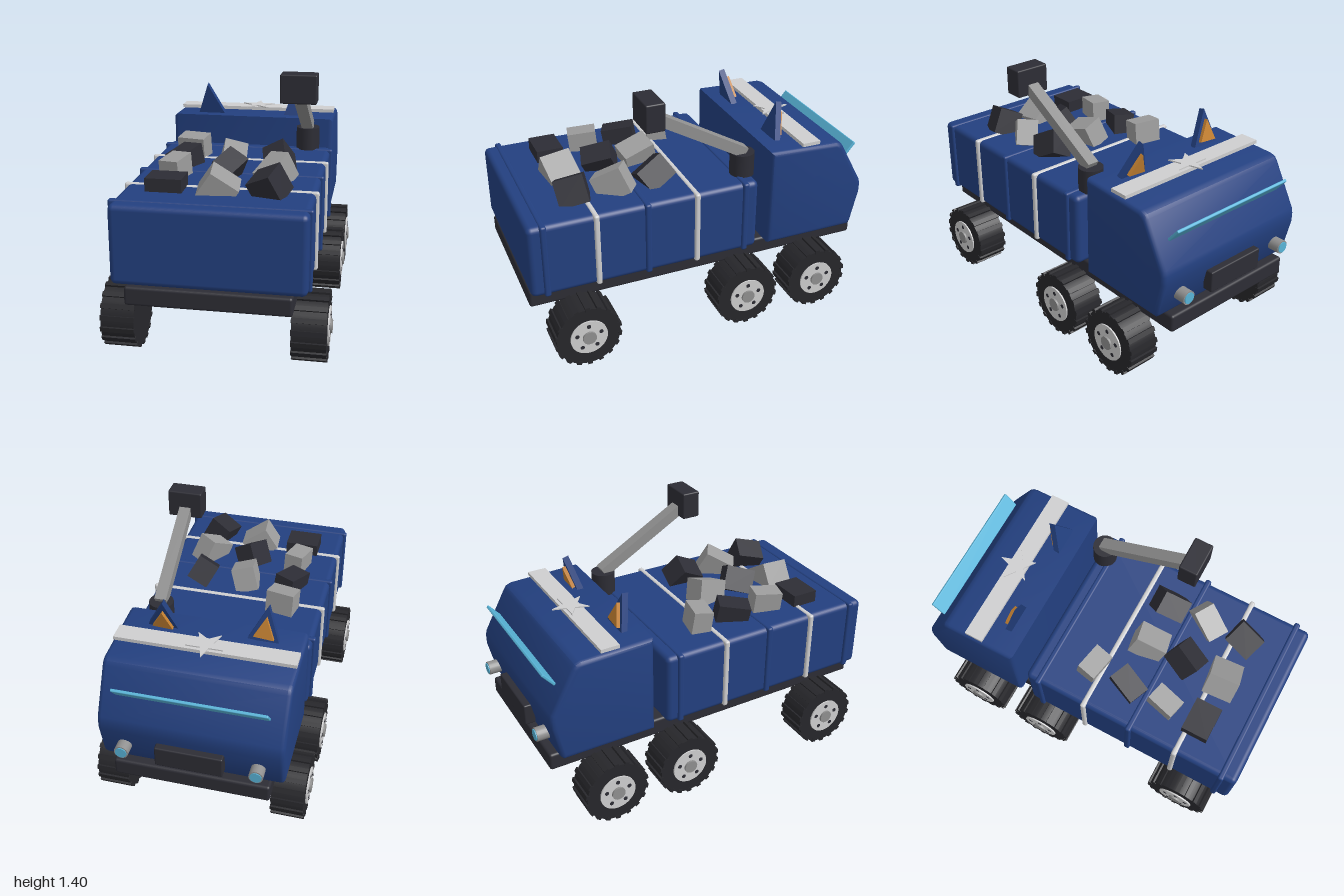
import * as THREE from 'three';
import { toCreasedNormals } from 'three/addons/utils/BufferGeometryUtils.js';
import { RoundedBoxGeometry } from 'three/addons/geometries/RoundedBoxGeometry.js';

export function createModel() {
  const model = new THREE.Group();
  model.name = 'truck';
  const paint = (name, color) => {
    const m = new THREE.MeshStandardMaterial({ color });
    m.name = name;
    return m;
  };
  const blue = paint('bodyBlue', 0x234080);
  const dark = paint('darkMetal', 0x2d2d35);
  const rubber = paint('tyreRubber', 0x27272b);
  const white = paint('lightTrim', 0xcfcfd0);
  const grey = paint('grey', 0x909090);
  const paleGrey = paint('paleRock', 0x9c9c9c);
  const cyan = paint('glassCyan', 0x58b4d8);
  const orange = paint('innerEarOrange', 0xc98433);

  const add = (name, geo, mat, x = 0, y = 0, z = 0, parent = model) => {
    const m = new THREE.Mesh(geo, mat);
    m.name = name;
    m.position.set(x, y, z);
    parent.add(m);
    return m;
  };
  const rbox = (w, h, d, r) => new RoundedBoxGeometry(w, h, d, 3, r);
  const polygon = pts => new THREE.Shape(pts.map(p => new THREE.Vector2(p[0], p[1])));

  // Chassis and cargo body
  add('chassis', rbox(0.84, 0.1, 1.95, 0.015), dark, 0, 0.39, 0.025);
  add('cargoBody', rbox(0.98, 0.415, 1.29, 0.03), blue, 0, 0.6525, 0.355);
  for (const z of [-0.21, 0.355, 0.915]) add('bodyRib', rbox(1.01, 0.42, 0.034, 0.012), blue, 0, 0.656, z);
  for (const z of [0.075, 0.635]) add('bodyStrap', rbox(1.01, 0.42, 0.03, 0.012), white, 0, 0.656, z);

  // Cab: side profile (z, y) pushed across the width
  const cabShape = polygon([
    [-0.365, 0.44], [-0.365, 1.01], [-0.77, 0.997], [-0.8, 0.985], [-0.815, 0.965],
    [-0.945, 0.73], [-0.952, 0.7], [-0.952, 0.65], [-0.91, 0.46], [-0.895, 0.44],
  ]);
  const cabGeo = new THREE.ExtrudeGeometry(cabShape, {
    depth: 0.93, bevelSize: 0.025, bevelThickness: 0.025, bevelOffset: -0.025, bevelSegments: 3,
  });
  cabGeo.translate(0, 0, -0.465).rotateY(-Math.PI / 2);
  add('cab', toCreasedNormals(cabGeo, 0.6), blue);

  // Roof band and star
  add('roofBand', new THREE.BoxGeometry(0.96, 0.02, 0.105), white, 0, 1.02, -0.607);
  const starPts = [];
  for (let i = 0; i < 10; i++) {
    const a = Math.PI / 2 + i * Math.PI / 5, r = i % 2 ? 0.04 : 0.105;
    starPts.push([Math.cos(a) * r, Math.sin(a) * r]);
  }
  const starGeo = new THREE.ExtrudeGeometry(polygon(starPts), { depth: 0.007, bevelEnabled: false });
  add('roofStar', starGeo.rotateX(-Math.PI / 2), white, 0, 1.031, -0.61);

  // Ears with orange inner plates
  const triangle = (w, h, d) => {
    const s = polygon([[-w / 2, 0], [w / 2, 0], [0, h]]);
    return new THREE.ExtrudeGeometry(s, { depth: d, bevelEnabled: false }).translate(0, 0, -d / 2);
  };
  for (const [x, z, lean] of [[-0.27, -0.465, 0.22], [0.265, -0.465, -0.27]]) {
    const ear = new THREE.Group();
    ear.name = 'ear';
    ear.position.set(x, 1.0, z);
    ear.rotation.set(lean, 0, 0.08);
    add('earShell', triangle(0.17, 0.2, 0.035), blue, 0, 0, 0, ear);
    add('innerEar', triangle(0.11, 0.12, 0.02), orange, 0, 0.025, -0.027, ear);
    model.add(ear);
  }

  // Visor, grille and headlights
  const visor = add('visor', rbox(0.8, 0.1, 0.016, 0.005), cyan, 0, 0.888, -0.912);
  visor.rotation.x = -0.7;
  add('grille', rbox(0.36, 0.12, 0.06, 0.008), dark, 0, 0.553, -0.953);
  const lampGeo = new THREE.CylinderGeometry(0.038, 0.038, 0.08, 20).rotateX(Math.PI / 2);
  const lensGeo = new THREE.CylinderGeometry(0.031, 0.031, 0.01, 20).rotateX(Math.PI / 2);
  for (const x of [-0.355, 0.355]) {
    add('headlightRim', lampGeo, grey, x, 0.552, -0.955);
    add('headlightLens', lensGeo, cyan, x, 0.552, -0.995);
  }

  // Boom with its turret and head
  add('boomTurret', new THREE.CylinderGeometry(0.068, 0.068, 0.135, 24), dark, 0.355, 0.922, -0.247);
  const from = new THREE.Vector3(0.355, 0.99, -0.255), to = new THREE.Vector3(0.355, 1.29, 0.27);
  const boom = add('boomArm', new THREE.BoxGeometry(0.066, 0.06, from.distanceTo(to)), grey);
  boom.position.lerpVectors(from, to, 0.5);
  boom.lookAt(to);
  add('boomHead', rbox(0.194, 0.155, 0.106, 0.008), dark, 0.356, 1.322, 0.292);

  // Load of rocks: x, y, z, pale?, size, rotation
  const rocks = [
    [-0.27, 0.91, 0.025, 1, [0.16, 0.14, 0.11], [0.15, -0.2, 0.03]],
    [-0.275, 0.88, 0.24, 0, [0.12, 0.15, 0.18], [0.2, -0.4, 0.15]],
    [-0.01, 0.9, 0.235, 1, [0.13, 0.14, 0.18], [0.3, 0.1, -0.3]],
    [0.25, 0.9, 0.23, 0, [0.13, 0.14, 0.17], [0.5, 0.2, 0.45]],
    [-0.275, 0.9, 0.465, 1, [0.11, 0.14, 0.16], [0.1, -0.25, 0.05]],
    [0, 0.91, 0.455, 0, [0.12, 0.14, 0.17], [0.3, -0.4, -0.4]],
    [0.26, 0.9, 0.465, 1, [0.12, 0.15, 0.18], [0.55, -0.45, 0.4]],
    [-0.27, 0.86, 0.685, 0, [0.19, 0.14, 0.15], [0, 0, 0]],
    [0, 0.88, 0.685, 1, [0.17, 0.14, 0.17], [0.1, 0.1, -0.6]],
    [0.26, 0.9, 0.69, 0, [0.14, 0.15, 0.16], [0.25, -0.25, 0.5]],
  ];
  for (const [x, y, z, pale, size, rot] of rocks) {
    add('rock', new THREE.BoxGeometry(...size), pale ? paleGrey : dark, x, y, z).rotation.set(...rot);
  }

  // Wheels: local +x is the outer side
  const disc = (r, w, n) => new THREE.CylinderGeometry(r, r, w, n).rotateZ(-Math.PI / 2);
  const tyreGeo = disc(0.176, 0.176, 36);
  const lugGeo = new THREE.BoxGeometry(0.18, 0.022, 0.026);
  const rimGeo = disc(0.103, 0.014, 32), capGeo = disc(0.038, 0.03, 20), holeGeo = disc(0.012, 0.006, 10);
  const makeWheel = () => {
    const wheel = new THREE.Group();
    wheel.name = 'wheel';
    add('tyre', tyreGeo, rubber, 0, 0, 0, wheel);
    for (let i = 0; i < 18; i++) {
      const a = i * Math.PI / 9;
      const lug = add('treadBlock', lugGeo, rubber, 0, Math.cos(a) * 0.175, Math.sin(a) * 0.175, wheel);
      lug.rotation.x = a;
    }
    add('rim', rimGeo, white, 0.089, 0, 0, wheel);
    add('hubCap', capGeo, grey, 0.092, 0, 0, wheel);
    for (let i = 0; i < 5; i++) {
      const a = i * Math.PI * 0.4;
      add('rimHole', holeGeo, dark, 0.095, Math.cos(a) * 0.07, Math.sin(a) * 0.07, wheel);
    }
    return wheel;
  };
  for (const z of [0.735, -0.2, -0.645]) {
    for (const side of [-1, 1]) {
      const wheel = makeWheel();
      wheel.position.set(side * 0.49, 0.187, z);
      if (side < 0) wheel.rotation.y = Math.PI;
      model.add(wheel);
    }
  }
  return model;
}
